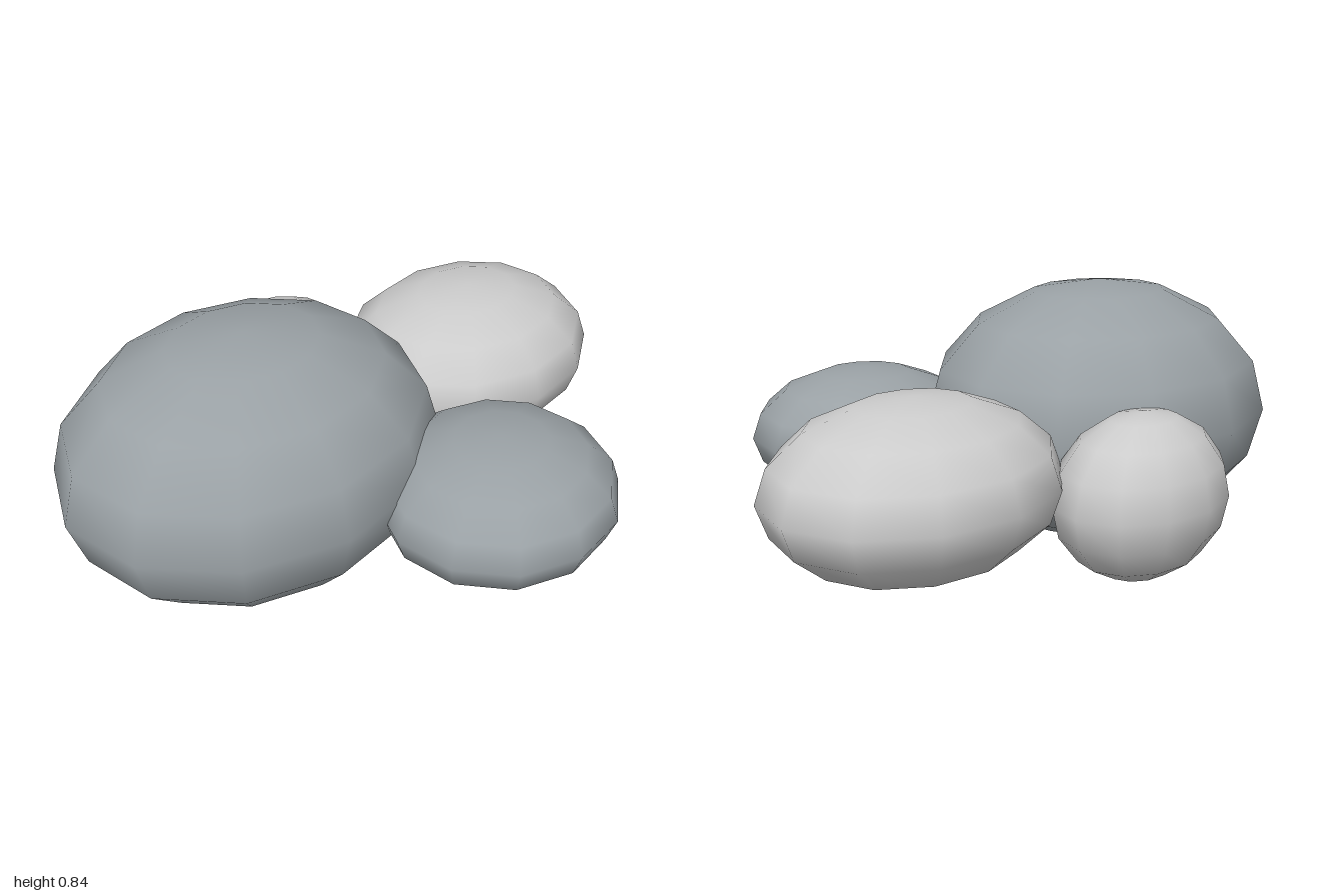
import * as THREE from 'three';

const lightStone = new THREE.MeshStandardMaterial({ color: 0xcccccc });
const darkStone = new THREE.MeshStandardMaterial({ color: 0x9aa1a5 });

// One squashed, low-poly boulder; every boulder shares the same sphere
const sphere = new THREE.SphereGeometry(1, 12, 8);

function boulder(name, material, centre, radii) {
  const mesh = new THREE.Mesh(sphere, material);
  mesh.name = name;
  mesh.position.set(...centre);
  mesh.scale.set(...radii);
  return mesh;
}

export function createModel() {
  const group = new THREE.Group();
  group.name = 'rockCluster';
  group.add(
    boulder('largeBoulder', darkStone, [-0.385, 0.425, -0.11], [0.615, 0.42, 0.525]),
    boulder('sideBoulder', lightStone, [0.535, 0.388, -0.19], [0.46, 0.253, 0.385]),
    boulder('frontBoulder', darkStone, [0.152, 0.35, 0.43], [0.383, 0.212, 0.366]),
    boulder('backBoulder', lightStone, [0, 0.313, -0.57], [0.305, 0.248, 0.23]),
  );
  return group;
}
